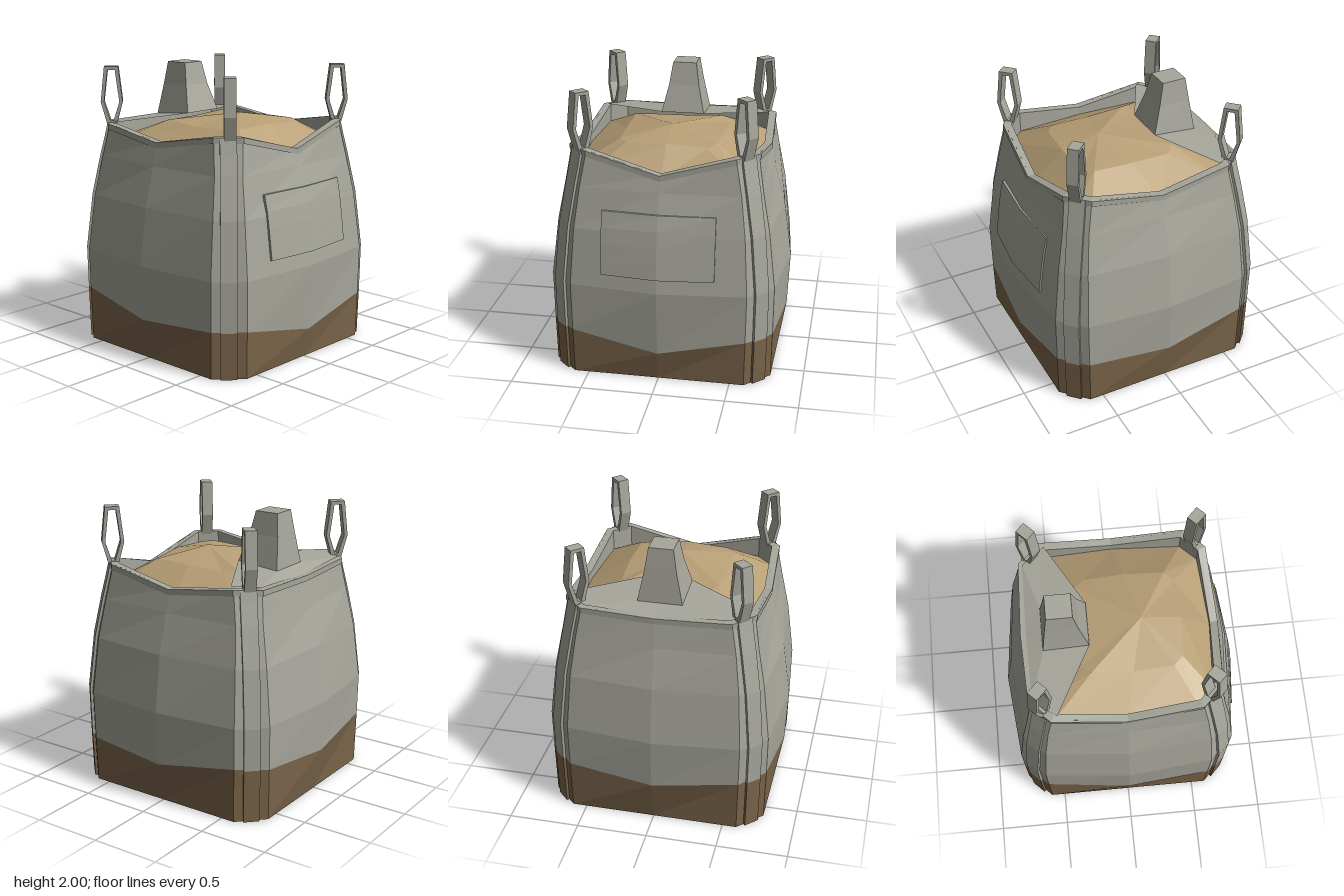
import * as THREE from 'three';

const fabric = new THREE.MeshStandardMaterial({ color: 0xa6a69c, side: THREE.DoubleSide });
fabric.name = 'greyFabric';
const dirt = new THREE.MeshStandardMaterial({ color: 0x7a6449 });
dirt.name = 'dirtyBrown';
const sandMat = new THREE.MeshStandardMaterial({ color: 0xb89f76 });
sandMat.name = 'sand';

// Bag profile: height, bulge at side middle, corner reach, corner half-span
const PROFILE = [
  [0, 0.77, 0.77, 0.6], [0.3, 0.825, 0.776, 0.605], [0.68, 0.84, 0.78, 0.61],
  [1.08, 0.783, 0.733, 0.585], [1.36, 0.705, 0.68, 0.55], [1.5, 0.667, 0.655, 0.525], [1.61, 0.662, 0.64, 0.505],
];
// Heights around the ring: front, +x side, back, -x side (corner, middle, corner)
const TOP = [1.61, 1.475, 1.61, 1.61, 1.52, 1.59, 1.58, 1.57, 1.58, 1.59, 1.52, 1.61];
const DIRT = [0.33, 0.21, 0.33, 0.33, 0.29, 0.39, 0.37, 0.31, 0.38, 0.39, 0.29, 0.33];

function profile(y) {
  let i = 1;
  while (i < PROFILE.length - 1 && PROFILE[i][0] < y) i++;
  const a = PROFILE[i - 1], b = PROFILE[i];
  const t = (y - a[0]) / (b[0] - a[0]);
  return [1, 2, 3].map((k) => a[k] + (b[k] - a[k]) * t);
}

// Twelve-point cross-section, moved outward by off and down by drop
function ring(heights, off = 0, drop = 0) {
  return Array.from({ length: 12 }, (_, i) => {
    const y = Array.isArray(heights) ? heights[i] : heights;
    const [mid, reach, span] = profile(y);
    const k = i % 3;
    const u = (k - 1) * (span + off * 0.4);
    const w = (k === 1 ? mid : reach) + off;
    const [x, z] = [[u, w], [w, -u], [-u, -w], [-w, u]][Math.floor(i / 3)];
    return [x, y - drop, z];
  });
}

function facets(tris) {
  const g = new THREE.BufferGeometry();
  g.setAttribute('position', new THREE.Float32BufferAttribute(tris.flat(2), 3));
  g.computeVertexNormals();
  return g;
}

// Skin closed rings from bottom to top; optional centre points close the ends
function loft(rings, bottom, top) {
  const tris = [];
  const n = rings[0].length;
  for (let i = 0; i < n; i++) {
    const j = (i + 1) % n;
    for (let r = 0; r < rings.length - 1; r++) {
      const a = rings[r], b = rings[r + 1];
      tris.push([a[i], a[j], b[j]], [a[i], b[j], b[i]]);
    }
    if (bottom) tris.push([rings[0][j], rings[0][i], bottom]);
    const last = rings[rings.length - 1];
    if (top) tris.push([last[i], last[j], top]);
  }
  return facets(tris);
}

export function createModel() {
  const model = new THREE.Group();
  model.name = 'bulkBag';
  const add = (name, geometry, material, parent = model) => {
    const mesh = new THREE.Mesh(geometry, material);
    mesh.name = name;
    parent.add(mesh);
    return mesh;
  };

  // Bag walls and dirty base
  add('dirtyBase', loft([ring(0), ring(DIRT)], [0, 0, 0]), dirt);
  add('bagWalls', loft([ring(DIRT), ring(0.68), ring(1.08), ring(1.36), ring(TOP)]), fabric);

  // Folded hem and inner wall
  add('rimHem', loft([
    ring(TOP, 0, 0.04), ring(TOP, 0.014, 0.04), ring(TOP, 0.014), ring(TOP, -0.042), ring(TOP, -0.042, 0.2),
  ]), fabric);

  // Sand mound, peak towards the front
  const edge = ring(TOP, -0.042).map(([x, , z], i) => [x, i === 1 ? 1.43 : 1.46, z]);
  const shoulder = edge.map(([x, , z], i) => [x * 0.57, 1.605 + 0.012 * Math.sin(i * 2.3), 0.15 + (z - 0.15) * 0.57]);
  add('sandMound', loft([edge, shoulder], null, [0, 1.67, 0.15]), sandMat);

  // Corner straps and lifting loops
  const strapRing = (y, sx, sz) => {
    const [, reach, span] = profile(y);
    const c = (reach + span) / 2;
    const pts = [[-0.04, -0.01], [-0.04, 0.014], [0.04, 0.014], [0.04, -0.01]]
      .map(([t, o]) => [sx * (c + o + t), y, sz * (c + o - t)]);
    return sx * sz > 0 ? pts : pts.reverse();
  };
  const hexagon = (s, inset) => {
    const pts = [[0.035, 1.59], [0.078, 1.75], [0.05, 2], [-0.05, 2], [-0.078, 1.75], [-0.035, 1.59]];
    pts.forEach(([x, y], i) => {
      const px = x - Math.sign(x) * inset;
      const py = y + (y > 1.9 ? -inset : y < 1.6 ? inset : 0);
      if (i) s.lineTo(px, py); else s.moveTo(px, py);
    });
    s.closePath();
    return s;
  };
  const loopShape = hexagon(new THREE.Shape(), 0);
  loopShape.holes.push(hexagon(new THREE.Path(), 0.024));
  const loopGeometry = new THREE.ExtrudeGeometry(loopShape, { depth: 0.08, bevelEnabled: false });
  loopGeometry.translate(0, 0, -0.04);

  for (const sx of [1, -1]) for (const sz of [1, -1]) {
    const corner = new THREE.Group();
    corner.name = (sz > 0 ? 'front' : 'back') + (sx > 0 ? 'Left' : 'Right') + 'Corner';
    model.add(corner);
    const split = sz > 0 ? 0.33 : 0.38;
    const rows = (ys) => ys.map((y) => strapRing(y, sx, sz));
    add('strapBase', loft(rows([0, split]), [sx * 0.685, 0, sz * 0.685]), dirt, corner);
    const top = sz > 0 ? 1.61 : 1.585;
    add('strap', loft(rows([split, 0.68, 1.08, 1.36, 1.5, top])), fabric, corner);
    const loop = add('liftingLoop', loopGeometry, fabric, corner);
    loop.position.set(sx * 0.56, sz > 0 ? 0 : -0.015, sz * 0.575);
    loop.rotation.y = Math.atan2(-sz, sx);
  }

  // Cover flap across the back
  const flap = [];
  const middle = [0, 1.57, -0.64];
  for (const s of [1, -1]) {
    const side = [s * 0.62, 1.6, -0.47], back = [s * 0.5, 1.59, -0.63];
    const front = [s * 0.155, 1.64, -0.215], rear = [s * 0.155, 1.61, -0.53];
    const half = [[side, back, rear], [side, rear, front], [back, middle, rear], [middle, [0, 1.61, -0.53], rear]];
    flap.push(...half.map((t) => (s > 0 ? [t[0], t[2], t[1]].reverse() : [t[0], t[2], t[1]])));
  }
  add('coverFlap', facets(flap), fabric);

  // Filling spout
  const spoutRing = (x, zf, zb, yf, yb) => [[-x, yf, zf], [x, yf, zf], [x, yb, zb], [-x, yb, zb]];
  add('fillingSpout', loft([
    spoutRing(0.155, -0.215, -0.53, 1.64, 1.61),
    spoutRing(0.11, -0.275, -0.505, 1.83, 1.83),
    spoutRing(0.085, -0.31, -0.485, 1.99, 1.99),
  ], null, [0, 1.99, -0.4]), fabric);

  // Document pouch following the bulge of the front
  const pouch = new THREE.BoxGeometry(0.78, 0.44, 0.018, 2, 4, 1).toNonIndexed();
  const p = pouch.attributes.position;
  for (let i = 0; i < p.count; i++) {
    const y = p.getY(i) + 1.0;
    const [mid, reach, span] = profile(y);
    const z = mid + (reach - mid) * Math.abs(p.getX(i)) / span;
    p.setXYZ(i, p.getX(i), y, z + p.getZ(i) + 0.004);
  }
  pouch.computeVertexNormals();
  add('documentPouch', pouch, fabric);

  return model;
}
